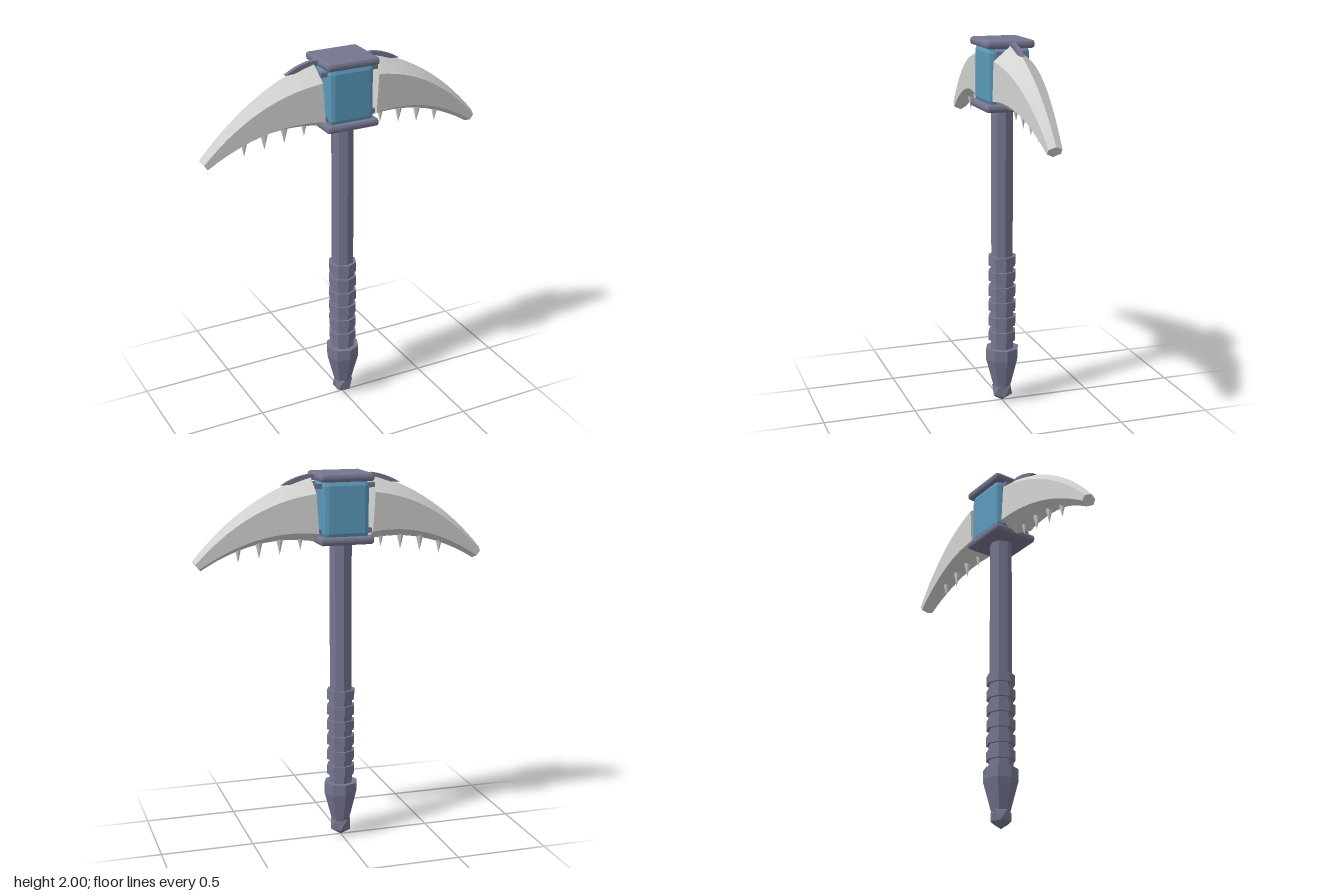
import * as THREE from 'three';
import { RoundedBoxGeometry } from 'three/addons/geometries/RoundedBoxGeometry.js';

const material = (name, color) => {
  const m = new THREE.MeshStandardMaterial({ color, flatShading: true });
  m.name = name;
  return m;
};

// Curved six-sided blade: four guide curves seen from the side, widened in z
function bladeGeometry(steps = 14) {
  const curve = (...p) => new THREE.QuadraticBezierCurve(...p.map(([x, y]) => new THREE.Vector2(x, y)));
  const ridge = curve([0.165, 1.985], [0.52, 1.89], [0.787, 1.57]);
  const upper = curve([0.158, 1.9], [0.5, 1.86], [0.777, 1.556]);
  const lower = curve([0.145, 1.695], [0.45, 1.735], [0.757, 1.532]);
  const belly = curve([0.142, 1.643], [0.45, 1.7], [0.747, 1.516]);
  const loop = [[ridge, 0], [upper, 1], [lower, 1], [belly, 0], [lower, -1], [upper, -1]];
  const positions = [], index = [];
  for (let i = 0; i <= steps; i++) {
    for (const [c, side] of loop) {
      const p = c.getPoint(i / steps);
      const halfWidth = 0.1 - 0.065 * (p.x - 0.15) / 0.62;
      positions.push(p.x, p.y, side * halfWidth);
    }
  }
  for (let i = 0; i < steps; i++) {
    for (let j = 0; j < 6; j++) {
      const a = i * 6 + j, b = i * 6 + (j + 1) % 6;
      index.push(a, b, b + 6, a, b + 6, a + 6);
    }
  }
  const end = steps * 6;
  for (let j = 1; j < 5; j++) {
    index.push(0, j + 1, j);
    index.push(end, end + j, end + j + 1);
  }
  const g = new THREE.BufferGeometry();
  g.setAttribute('position', new THREE.Float32BufferAttribute(positions, 3));
  g.setIndex(index);
  g.computeVertexNormals();
  return g;
}

// Thin crest lying along the top of the blade
function crestGeometry() {
  const s = new THREE.Shape();
  s.moveTo(0.14, 1.99);
  s.lineTo(0.17, 1.993);
  s.quadraticCurveTo(0.25, 1.982, 0.32, 1.938);
  s.lineTo(0.22, 1.945);
  s.lineTo(0.14, 1.965);
  s.closePath();
  return new THREE.ExtrudeGeometry(s, { depth: 0.024, bevelEnabled: false, curveSegments: 5 }).translate(0, 0, -0.012);
}

export function createModel() {
  const iron = material('slate iron', 0x75768f);
  const bone = material('pale blade', 0xd3d3d1);
  const gem = material('blue core', 0x5b9abb);

  const model = new THREE.Group();
  model.name = 'pickaxe';
  const add = (parent, name, geometry, mat, x = 0, y = 0, z = 0) => {
    const mesh = new THREE.Mesh(geometry, mat);
    mesh.name = name;
    mesh.position.set(x, y, z);
    parent.add(mesh);
    return mesh;
  };
  // Eight-sided tapered section between two heights
  const section = (name, rTop, rBottom, y0, y1) =>
    add(model, name, new THREE.CylinderGeometry(rTop, rBottom, y1 - y0, 8), iron, 0, (y0 + y1) / 2);

  // Handle and grip
  section('handle', 0.061, 0.061, 0.28, 1.65);
  section('gripCore', 0.065, 0.065, 0.3, 0.81);
  for (let i = 0; i < 6; i++) {
    const y = 0.385 + i * 0.085;
    section('gripRing', 0.077, 0.077, y - 0.026, y + 0.026);
  }

  // Pommel
  section('pommelCollar', 0.092, 0.092, 0.25, 0.312);
  section('pommelTaper', 0.092, 0.05, 0.09, 0.25);
  add(model, 'pommelTip', new THREE.IcosahedronGeometry(0.062, 0).rotateZ(0.5536), iron, 0, 0.062);

  // Head block
  add(model, 'core', new RoundedBoxGeometry(0.25, 0.3, 0.228, 1, 0.028), gem, 0, 1.815);
  for (const [name, y] of [['topPlate', 1.979], ['bottomPlate', 1.655]]) {
    add(model, name, new RoundedBoxGeometry(0.292, 0.042, 0.264, 1, 0.016), iron, 0, y);
  }

  // Two matching blades with their crest, pins and teeth
  for (const side of ['left', 'right']) {
    const half = new THREE.Group();
    half.name = side + 'Blade';
    if (side === 'right') half.rotation.y = Math.PI;
    model.add(half);
    add(half, 'blade', bladeGeometry(), bone);
    add(half, 'crest', crestGeometry(), iron);
    for (const z of [-0.065, 0.065]) {
      for (const y of [1.935, 1.7]) {
        add(half, 'pin', new THREE.BoxGeometry(0.05, 0.025, 0.03), iron, 0.135, y, z);
      }
    }
    [[0.22, 1.6], [0.33, 1.582], [0.44, 1.566], [0.55, 1.55]].forEach(([x, tip]) => {
      const tooth = new THREE.ConeGeometry(0.02, 0.085, 6).rotateX(Math.PI);
      add(half, 'tooth', tooth, bone, x, tip + 0.0425);
    });
  }
  return model;
}
